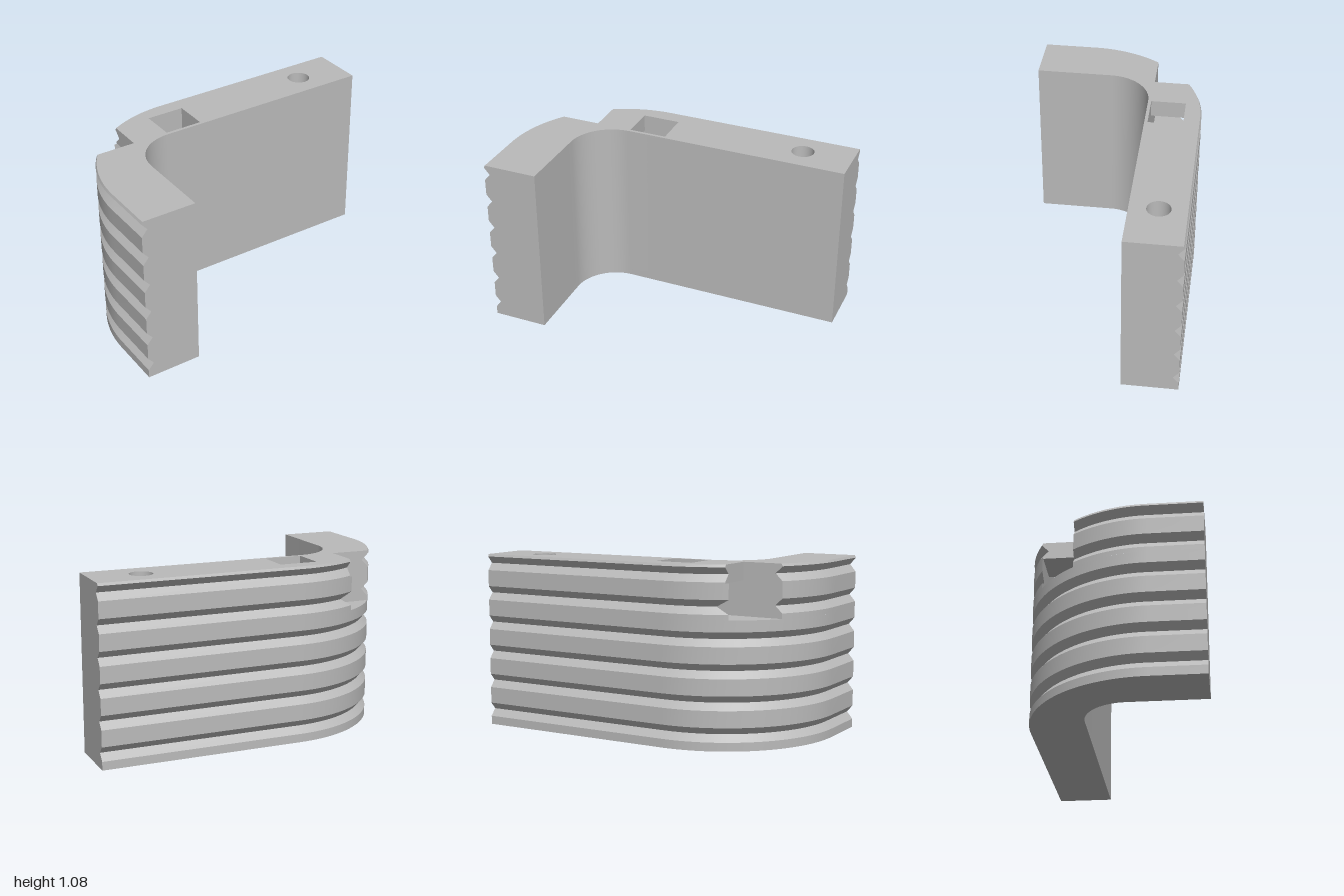
import * as THREE from 'three';
import { toCreasedNormals } from 'three/addons/utils/BufferGeometryUtils.js';

const HEIGHT = 1.077, FLOOR = 0.76, CEILING = 0.97;   // tunnel runs from FLOOR to CEILING
const BACK = -0.435, FRONT = -0.22;                   // tunnel sides in z
const MOUTH = -0.615, HOLE_L = -0.39, HOLE_R = -0.155; // corner mouth and square hole in x
const CX = -0.25, CZ = 0.21, RADIUS = 0.75;           // outer bend

// Plan outline (x, z), counter-clockwise from above, outer face pushed in by d.
function plan(kind, d) {
  const R = RADIUS - d, pts = [[1, CZ - R]];
  const bend = (from, to, n, first = 0) => {
    for (let i = first; i <= n; i++) {
      const t = from + (to - from) * i / n;
      pts.push([CX - R * Math.sin(t), CZ - R * Math.cos(t)]);
    }
  };
  const tB = Math.acos((CZ - FRONT) / R);
  if (kind === 'solid') {
    bend(0, Math.PI / 2, 32);
  } else if (kind === 'tunnel') {
    bend(0, Math.acos((CZ - BACK) / R), 14);
    pts.push([HOLE_R, BACK], [HOLE_R, FRONT]);
    bend(tB, Math.PI / 2, 14);
  } else {
    bend(0, Math.asin((CX - MOUTH) / R), 14);
    pts.push([MOUTH, FRONT]);
    bend(tB, Math.PI / 2, 14);
  }
  pts.push([CX - R, 0.537], [-0.66, 0.537]);
  // inner bend
  for (let i = 0; i <= 20; i++) {
    const t = Math.PI / 2 * (1 - i / 20);
    pts.push([-0.395 - 0.265 * Math.sin(t), 0.065 - 0.265 * Math.cos(t)]);
  }
  pts.push([1, -0.2]);
  return pts;
}

// Wall quads between two outlines with equal point counts
function addWall(out, low, y0, high, y1) {
  low.forEach((p, i) => {
    const j = (i + 1) % low.length, q = low[j], P = high[i], Q = high[j];
    out.push(p[0], y0, p[1], q[0], y0, q[1], Q[0], y1, Q[1],
      p[0], y0, p[1], Q[0], y1, Q[1], P[0], y1, P[1]);
  });
}

function wallGeometry(out) {
  const g = new THREE.BufferGeometry();
  g.setAttribute('position', new THREE.Float32BufferAttribute(out, 3));
  return toCreasedNormals(g, 0.3);
}

// Flat horizontal face, facing up or down
function capGeometry(outline, y, up, holes = []) {
  const s = up ? -1 : 1;
  const vecs = (pts) => pts.map(([x, z]) => new THREE.Vector2(x, s * z));
  const shape = new THREE.Shape(vecs(outline));
  shape.holes = holes.map((h) => new THREE.Path(vecs(h)));
  return new THREE.ShapeGeometry(shape).rotateX(s * Math.PI / 2).translate(0, y, 0);
}

export function createModel() {
  const group = new THREE.Group();
  const grey = new THREE.MeshStandardMaterial({ color: 0xbababa });
  grey.name = 'plain grey';
  const add = (name, geometry) => {
    const mesh = new THREE.Mesh(geometry, grey);
    mesh.name = name;
    group.add(mesh);
  };

  // Height and inset of the outer face: six V grooves and a small top chamfer
  const levels = [[0, 0], [FLOOR, 0], [CEILING, 0], [HEIGHT, 0.007]];
  for (let i = 0; i < 6; i++) {
    const c = 0.095 + 0.185 * i;
    levels.push([c - 0.043, 0], [c, 0.036], [c + 0.042, 0]);
  }
  levels.sort((a, b) => a[0] - b[0]);

  // Body walls
  const walls = [];
  for (let i = 0; i + 1 < levels.length; i++) {
    const [y0, d0] = levels[i], [y1, d1] = levels[i + 1], mid = (y0 + y1) / 2;
    const kind = mid < FLOOR ? 'solid' : mid < CEILING ? 'tunnel' : 'mouth';
    addWall(walls, plan(kind, d0), y0, plan(kind, d1), y1);
  }
  add('bracketWalls', wallGeometry(walls));

  // Holes in the top, clockwise from above so their walls face inward
  const square = [[HOLE_L, BACK], [HOLE_R, BACK], [HOLE_R, FRONT], [HOLE_L, FRONT]];
  const round = [];
  for (let i = 0; i < 32; i++) {
    const a = i / 32 * Math.PI * 2;
    round.push([0.69 + 0.07 * Math.cos(a), -0.37 + 0.07 * Math.sin(a)]);
  }
  const squareWalls = [], roundWalls = [];
  addWall(squareWalls, square, CEILING, square, HEIGHT);
  addWall(roundWalls, round, FLOOR, round, HEIGHT);
  add('squareHoleWalls', wallGeometry(squareWalls));
  add('roundHoleWalls', wallGeometry(roundWalls));
  add('roundHoleFloor', capGeometry(round, FLOOR, true));

  // Top and bottom faces
  add('topFace', capGeometry(plan('mouth', 0.007), HEIGHT, true, [square, round]));
  add('bottomFace', capGeometry(plan('solid', 0), 0, false));

  // Tunnel floor, with its outer edge following the bend
  const floor = [[HOLE_R, BACK], [HOLE_R, FRONT]];
  const tA = Math.acos((CZ - BACK) / RADIUS), tB = Math.acos((CZ - FRONT) / RADIUS);
  for (let i = 0; i <= 10; i++) {
    const t = tB + (tA - tB) * i / 10;
    floor.push([CX - RADIUS * Math.sin(t), CZ - RADIUS * Math.cos(t)]);
  }
  add('tunnelFloor', capGeometry(floor, FLOOR, true));

  // Tunnel ceiling between the corner mouth and the square hole
  add('tunnelCeiling', capGeometry(
    [[MOUTH, BACK], [HOLE_L, BACK], [HOLE_L, FRONT], [MOUTH, FRONT]], CEILING, false));
  return group;
}
